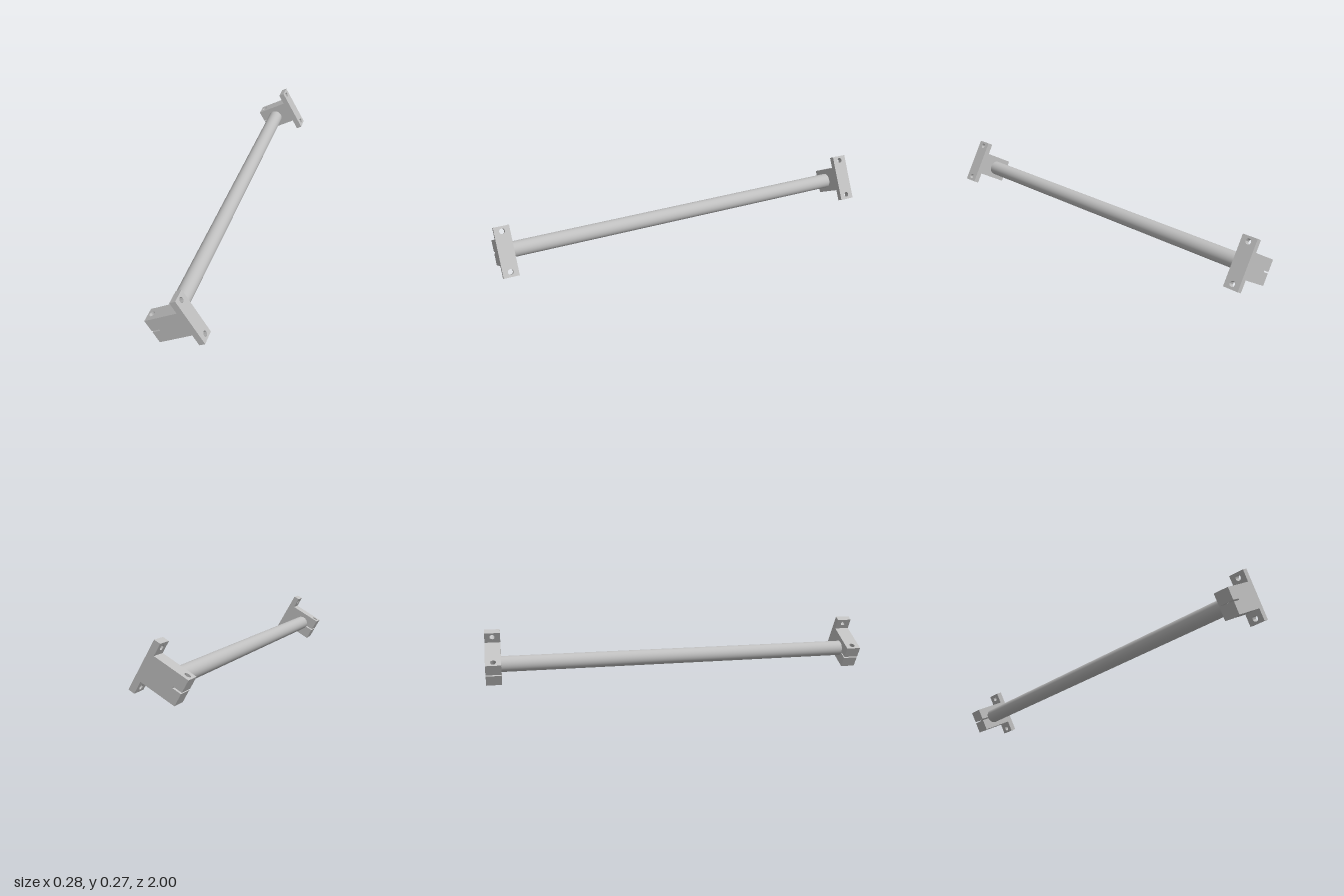
import * as THREE from 'three';
import { toCreasedNormals } from 'three/addons/utils/BufferGeometryUtils.js';

const metal = new THREE.MeshStandardMaterial({ color: 0xc0c0c0 });
metal.name = 'grey metal';

const DEPTH = 0.077;      // bracket thickness along the shaft
const HALF = 0.0645;      // half width of the clamp block
const SLOT = 0.0037;      // half width of the clamping slot
const JAW = [-0.0837, -0.04];
const FLANGE = [0.0938, 0.125];
const SCREW_X = -0.0587;

function addMesh(parent, name, geometry) {
  const mesh = new THREE.Mesh(geometry, metal);
  mesh.name = name;
  parent.add(mesh);
  return mesh;
}

// Rectangular plate with round holes, extruded along +z
function holedPlate(w, h, holes, radius, depth) {
  const shape = new THREE.Shape();
  shape.moveTo(-w / 2, -h / 2);
  shape.lineTo(w / 2, -h / 2);
  shape.lineTo(w / 2, h / 2);
  shape.lineTo(-w / 2, h / 2);
  shape.closePath();
  for (const [x, y] of holes) {
    shape.holes.push(new THREE.Path().absarc(x, y, radius, 0, Math.PI * 2, true));
  }
  const geo = new THREE.ExtrudeGeometry(shape, { depth, bevelEnabled: false, curveSegments: 24 });
  return toCreasedNormals(geo, 0.6);
}

function createBracket(name) {
  const bracket = new THREE.Group();
  bracket.name = name;

  // Solid block around the shaft
  const bodyWidth = FLANGE[0] - JAW[1];
  const body = addMesh(bracket, 'clampBody', new THREE.BoxGeometry(bodyWidth, HALF * 2, DEPTH));
  body.position.x = (FLANGE[0] + JAW[1]) / 2;

  // Mounting flange with two bolt holes
  const flange = addMesh(bracket, 'mountingFlange',
    holedPlate(DEPTH, 0.249, [[0, 0.0995], [0, -0.0995]], 0.0135, FLANGE[1] - FLANGE[0]));
  flange.rotation.y = Math.PI / 2;
  flange.position.x = FLANGE[0];

  // Jaws either side of the slot, with a counterbored clamp screw hole
  const jawWidth = JAW[1] - JAW[0];
  const jawX = (JAW[0] + JAW[1]) / 2;
  const layers = [
    ['lowerJaw', -HALF, -SLOT, 0.009],
    ['upperJaw', SLOT, 0.0345, 0.009],
    ['upperJawCounterbore', 0.0345, HALF, 0.0145],
  ];
  for (const [label, y0, y1, radius] of layers) {
    const jaw = addMesh(bracket, label,
      holedPlate(jawWidth, DEPTH, [[SCREW_X - jawX, 0]], radius, y1 - y0));
    jaw.rotation.x = -Math.PI / 2;
    jaw.position.set(jawX, y0, 0);
  }
  return bracket;
}

export function createModel() {
  const model = new THREE.Group();
  model.name = 'supportedShaft';

  // Everything is tilted 30 degrees about the shaft axis
  const assembly = new THREE.Group();
  assembly.name = 'tiltedAssembly';
  assembly.position.set(-0.0337, 0.0978, 0);
  assembly.rotation.z = Math.PI / 6;
  model.add(assembly);

  const shaft = addMesh(assembly, 'shaft', new THREE.CylinderGeometry(0.04, 0.04, 1.998, 48));
  shaft.rotation.x = Math.PI / 2;

  for (const side of [1, -1]) {
    const bracket = createBracket(side > 0 ? 'frontBracket' : 'backBracket');
    bracket.position.z = side * (1 - DEPTH / 2);
    assembly.add(bracket);
  }
  return model;
}
